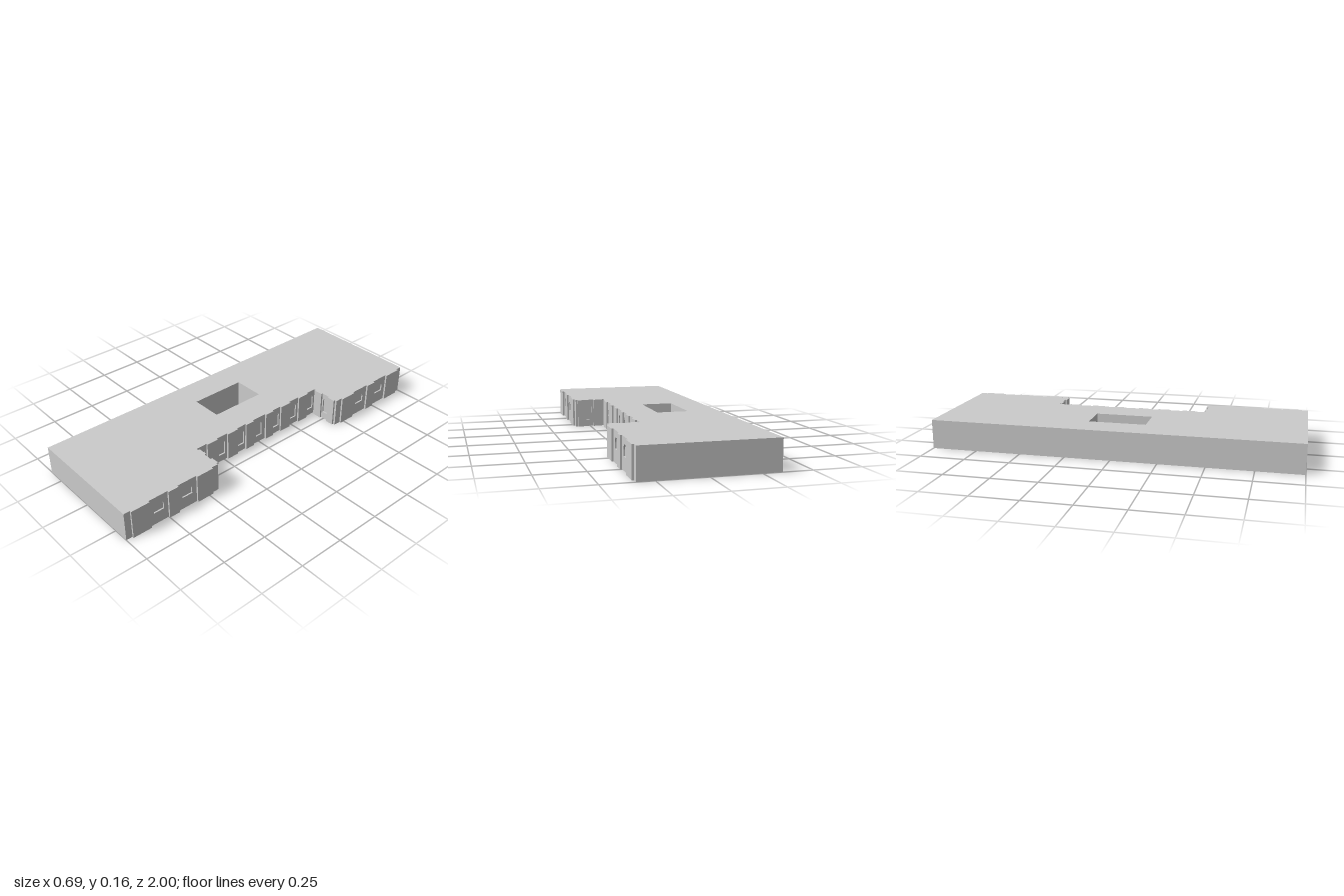
import * as THREE from 'three';

const H = 0.16;       // wall height
const RELIEF = 0.01;  // how far the piers project
const INSET = 0.008;  // depth of the window niches
const material = new THREE.MeshStandardMaterial({ color: 0xcccccc, flatShading: true, side: THREE.DoubleSide });

const WING_WINDOW = { w: 0.06, y0: 0.068, y1: 0.126 };
const COURT_WINDOW = { w: 0.042, y0: 0.04, y1: 0.13 };
const SIDE_WINDOW = { w: 0.034, y0: 0.04, y1: 0.13 };

// Round-headed opening centred on cx
function arch(Type, cx, { w, y0, y1 }) {
  const r = w / 2, p = new Type();
  p.moveTo(cx - r, y0);
  p.lineTo(cx + r, y0);
  p.lineTo(cx + r, y1 - r);
  p.absarc(cx, y1 - r, r, 0, Math.PI, false);
  p.lineTo(cx - r, y0);
  return p;
}

function rectangle(Type, x0, y0, x1, y1) {
  const p = new Type();
  p.moveTo(x0, y0);
  p.lineTo(x1, y0);
  p.lineTo(x1, y1);
  p.lineTo(x0, y1);
  p.closePath();
  return p;
}

function add(parent, name, geometry) {
  const mesh = new THREE.Mesh(geometry, material);
  mesh.name = name;
  parent.add(mesh);
  return mesh;
}

// Upright wall panel from a to b ([x, z]), optionally with an arched niche
function wallPanel(a, b, window) {
  const dx = b[0] - a[0], dz = b[1] - a[1], length = Math.hypot(dx, dz);
  const group = new THREE.Group();
  group.name = window ? 'windowBay' : 'wallPanel';
  group.position.set(a[0], 0, a[1]);
  group.rotation.y = Math.atan2(-dz, dx);
  const shape = rectangle(THREE.Shape, 0, 0, length, H);
  if (window) {
    shape.holes.push(arch(THREE.Path, length / 2, window));
    const niche = new THREE.ExtrudeGeometry(arch(THREE.Shape, length / 2, window), {
      depth: INSET, bevelEnabled: false, curveSegments: 10,
    });
    // Push the front cap back so that only the reveal and the pane remain
    const pos = niche.attributes.position, cap = niche.groups[0];
    for (let i = cap.start; i < cap.start + cap.count; i++) pos.setZ(i, 0);
    niche.translate(0, 0, -INSET);
    add(group, 'windowNiche', niche);
  }
  add(group, 'wall', new THREE.ShapeGeometry(shape, 10));
  return group;
}

// Facade along one axis: stops alternate between recessed bay and projecting pier
function facade(stops, place, window) {
  const points = [];
  for (let i = 0; i < stops.length - 1; i++) {
    const pier = i % 2 === 1;
    const wide = Math.abs(stops[i + 1] - stops[i]) > 0.045;
    points.push({ p: place(stops[i], pier ? RELIEF : 0), window: !pier && wide ? window : null });
    points.push({ p: place(stops[i + 1], pier ? RELIEF : 0), window: null });
  }
  return points;
}

export function createModel() {
  const model = new THREE.Group();
  model.name = 'building';

  const wing = [1, 0.965, 0.86, 0.75, 0.69, 0.575, 0.475, 0.435];
  const side = [0.337, 0.325, 0.28, 0.23, 0.18, 0.167];
  const half = [0.435, 0.37, 0.3, 0.23, 0.16, 0.1, 0.045];
  const mirror = (list) => list.map((v) => -v).reverse();

  // Outline of the plan: plain sides first, then the articulated facades
  const outline = [
    { p: [-0.347, -1], window: null },
    { p: [-0.347, 1], window: null },
    ...facade(wing, (z, out) => [0.337 + out, z], WING_WINDOW),
    ...facade(side, (x, out) => [x, 0.435 - out], SIDE_WINDOW),
    ...facade([...half, ...mirror(half)], (z, out) => [0.167 + out, z], COURT_WINDOW),
    ...facade([...side].reverse(), (x, out) => [x, -0.435 + out], SIDE_WINDOW),
    ...facade(mirror(wing), (z, out) => [0.337 + out, z], WING_WINDOW),
  ];

  // Outer walls
  const walls = new THREE.Group();
  walls.name = 'outerWalls';
  outline.forEach(({ p, window }, i) => {
    const q = outline[(i + 1) % outline.length].p;
    if (Math.hypot(q[0] - p[0], q[1] - p[1]) > 1e-4) walls.add(wallPanel(p, q, window));
  });
  model.add(walls);

  // Flat roof with the light well cut out
  const x0 = -0.178, x1 = -0.004, zw = 0.157;
  const corners = outline.map(({ p }) => new THREE.Vector2(p[0], -p[1]));
  const roofShape = new THREE.Shape(corners.filter((c, i) => i === 0 || c.distanceTo(corners[i - 1]) > 1e-4));
  roofShape.holes.push(rectangle(THREE.Path, x0, -zw, x1, zw));
  add(model, 'roof', new THREE.ShapeGeometry(roofShape).rotateX(-Math.PI / 2).translate(0, H, 0));

  // Light well: four walls and a floor, walls facing into the shaft
  const well = new THREE.Group();
  well.name = 'lightWell';
  const ring = [[x0, zw], [x0, -zw], [x1, -zw], [x1, zw]];
  ring.forEach((p, i) => well.add(wallPanel(p, ring[(i + 1) % 4], null)));
  const floor = new THREE.ShapeGeometry(rectangle(THREE.Shape, x0, -zw, x1, zw)).rotateX(-Math.PI / 2);
  add(well, 'wellFloor', floor);
  model.add(well);

  return model;
}
